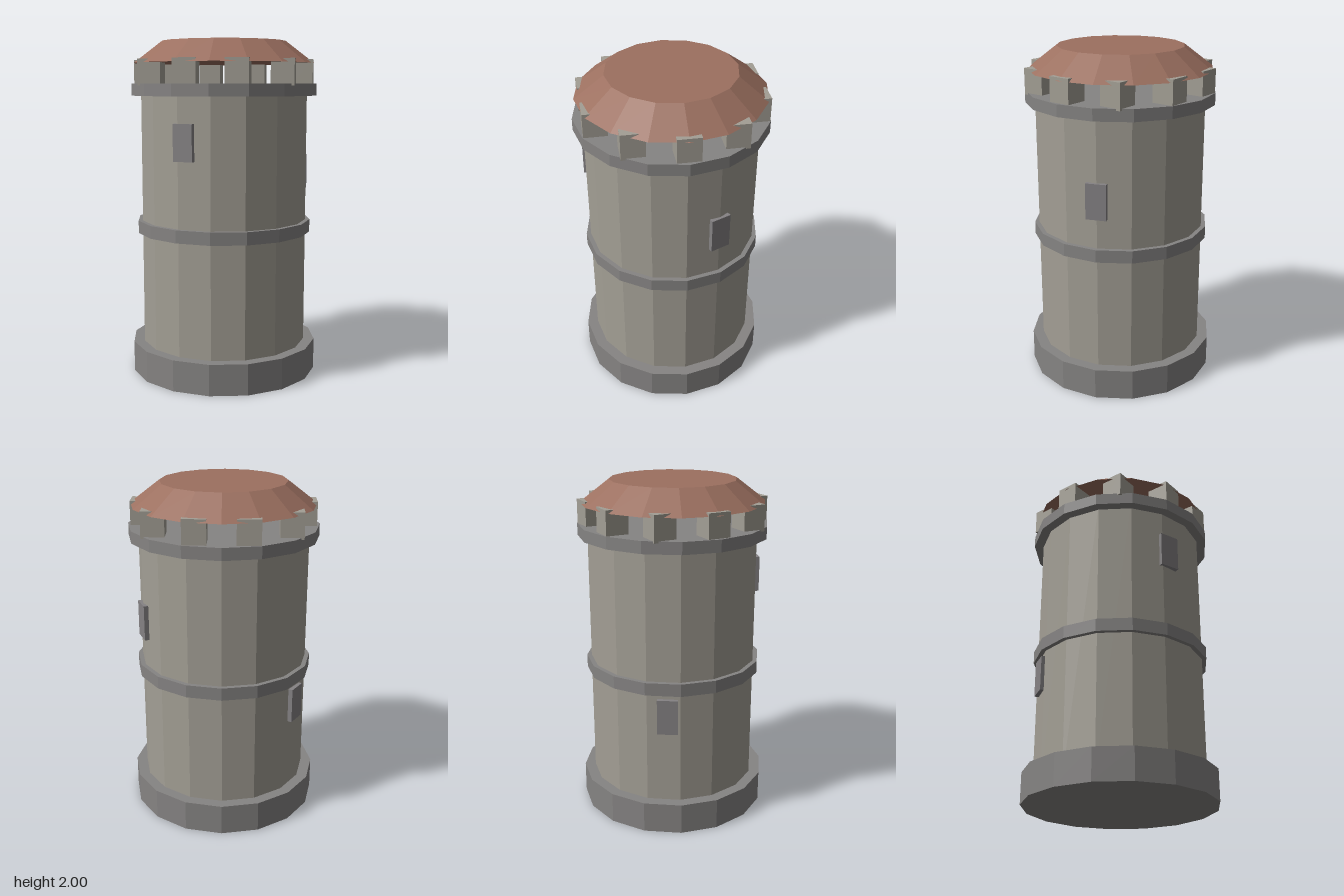
import * as THREE from 'three';

const SIDES = 16;
const material = (color) => new THREE.MeshStandardMaterial({ color, flatShading: true });

export function createModel() {
  const tower = new THREE.Group();
  tower.name = 'tower';
  const wallStone = material(0xa39f95);
  const trimStone = material(0x868483);
  const shutter = material(0x858284);
  const roofTile = material(0x9c7060);

  const add = (name, geometry, mat, x = 0, y = 0, z = 0) => {
    const mesh = new THREE.Mesh(geometry, mat);
    mesh.name = name;
    mesh.position.set(x, y, z);
    tower.add(mesh);
    return mesh;
  };

  // Faceted drum between two heights
  const drum = (name, y0, y1, rBottom, rTop, mat) =>
    add(name, new THREE.CylinderGeometry(rTop, rBottom, y1 - y0, SIDES), mat, 0, (y0 + y1) / 2);

  drum('base', 0, 0.185, 0.565, 0.565, trimStone);
  drum('wall', 0.05, 1.72, 0.5, 0.5, wallStone);
  drum('middleBand', 0.86, 0.935, 0.527, 0.527, trimStone);
  drum('parapetBand', 1.68, 1.75, 0.557, 0.557, trimStone);
  drum('roof', 1.87, 2, 0.54, 0.37, roofTile);

  // Ten square merlons, all kept parallel to the axes
  const merlon = new THREE.BoxGeometry(0.132, 0.15, 0.132);
  for (let i = 0; i < 10; i++) {
    const a = (i / 10) * Math.PI * 2;
    add(`merlon${i + 1}`, merlon, wallStone, 0.469 * Math.cos(a), 1.815, 0.469 * Math.sin(a));
  }

  // Window slabs facing outward: angle from the front in degrees, height
  const slab = new THREE.BoxGeometry(0.12, 0.21, 0.03);
  [[-18, 1.425], [112.4, 1.215], [239, 0.725]].forEach(([deg, y], i) => {
    const a = THREE.MathUtils.degToRad(deg);
    add(`window${i + 1}`, slab, shutter, 0.5 * Math.sin(a), y, 0.5 * Math.cos(a)).rotation.y = a;
  });

  return tower;
}
